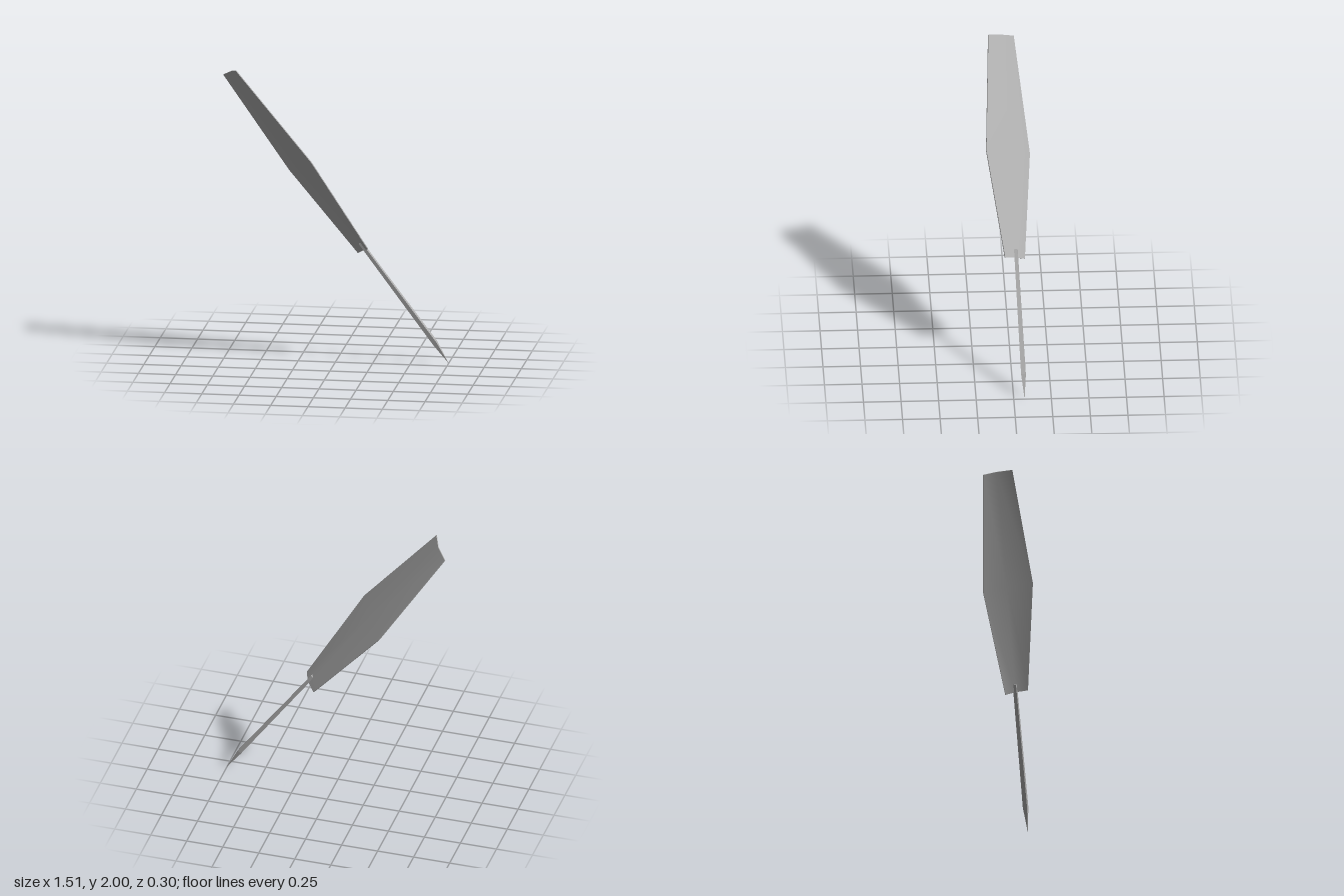
import * as THREE from 'three';

// directions across the feather and out of its convex side
const ACROSS = new THREE.Vector3(0.51, 0.34, 0.79).normalize();
const OUT = new THREE.Vector3(0.62, 0.49, -0.61).normalize();

function faceted(points, index) {
  const geo = new THREE.BufferGeometry().setFromPoints(points);
  geo.setIndex(index);
  const flat = geo.toNonIndexed();
  flat.computeVertexNormals();
  return flat;
}

// one smooth sheet over rows of points, flipped for the other side
function sheet(rows, flip) {
  const cols = rows[0].length, index = [];
  for (let i = 0; i < rows.length - 1; i++) {
    for (let j = 0; j < cols - 1; j++) {
      const a = i * cols + j, b = a + cols, c = b + 1, d = a + 1;
      if (flip) index.push(a, c, b, a, d, c);
      else index.push(a, b, c, a, c, d);
    }
  }
  const geo = new THREE.BufferGeometry().setFromPoints(rows.flat());
  geo.setIndex(index);
  geo.computeVertexNormals();
  return geo;
}

export function createModel() {
  const group = new THREE.Group();
  group.name = 'feather';
  const grey = new THREE.MeshStandardMaterial({ color: 0xb0b0b0 });
  grey.name = 'grey';
  const add = (name, geo, parent) => {
    const mesh = new THREE.Mesh(geo, grey);
    mesh.name = name;
    parent.add(mesh);
  };

  // vane: left and right edge at tip, middle and base, folded along the spine
  const edges = [
    [[-0.76, 1.93, -0.057], [-0.65, 2.0, 0.115]],
    [[-0.33, 1.27, -0.148], [-0.14, 1.4, 0.148]],
    [[0.14, 0.73, -0.096], [0.226, 0.79, 0.038]],
  ];
  const rows = edges.map(([l, r]) => {
    const left = new THREE.Vector3(...l), right = new THREE.Vector3(...r);
    const spine = left.clone().lerp(right, 0.5).addScaledVector(OUT, 0.02);
    return [left, spine, right];
  });
  const shift = (d) => rows.map((row) => row.map((p) => p.clone().addScaledVector(OUT, d)));
  const inner = shift(-0.003), outer = shift(0.003);
  const vane = new THREE.Group();
  vane.name = 'vane';
  group.add(vane);
  add('vaneInside', sheet(inner, false), vane);
  add('vaneOutside', sheet(outer, true), vane);

  // thin rim joining both sheets
  const loop = [[0, 0], [1, 0], [2, 0], [2, 1], [2, 2], [1, 2], [0, 2], [0, 1]];
  const rimPoints = [], rimIndex = [];
  loop.forEach(([i, j], k) => {
    rimPoints.push(inner[i][j], outer[i][j]);
    const p = 2 * k, q = 2 * ((k + 1) % loop.length);
    rimIndex.push(p, p + 1, q + 1, p, q + 1, q);
  });
  add('vaneRim', faceted(rimPoints, rimIndex), vane);

  // quill: four-sided shaft, widening slightly, then cut to a point
  const rings = [
    [0.163, 0.815, -0.037, 0.016],
    [0.66, 0.14, -0.068, 0.021],
    [0.752, 0, -0.072, 0],
  ];
  const points = [], index = [0, 2, 1, 0, 3, 2];
  rings.forEach(([x, y, z, r], i) => {
    for (let k = 0; k < 4; k++) {
      const a = (k * Math.PI) / 2;
      points.push(new THREE.Vector3(x, y, z)
        .addScaledVector(OUT, r * Math.cos(a))
        .addScaledVector(ACROSS, r * Math.sin(a)));
      if (i === rings.length - 1) continue;
      const p = i * 4 + k, q = i * 4 + ((k + 1) % 4);
      index.push(p, q, q + 4);
      if (rings[i + 1][3] > 0) index.push(p, q + 4, p + 4);
    }
  });
  add('quill', faceted(points, index), group);

  return group;
}
